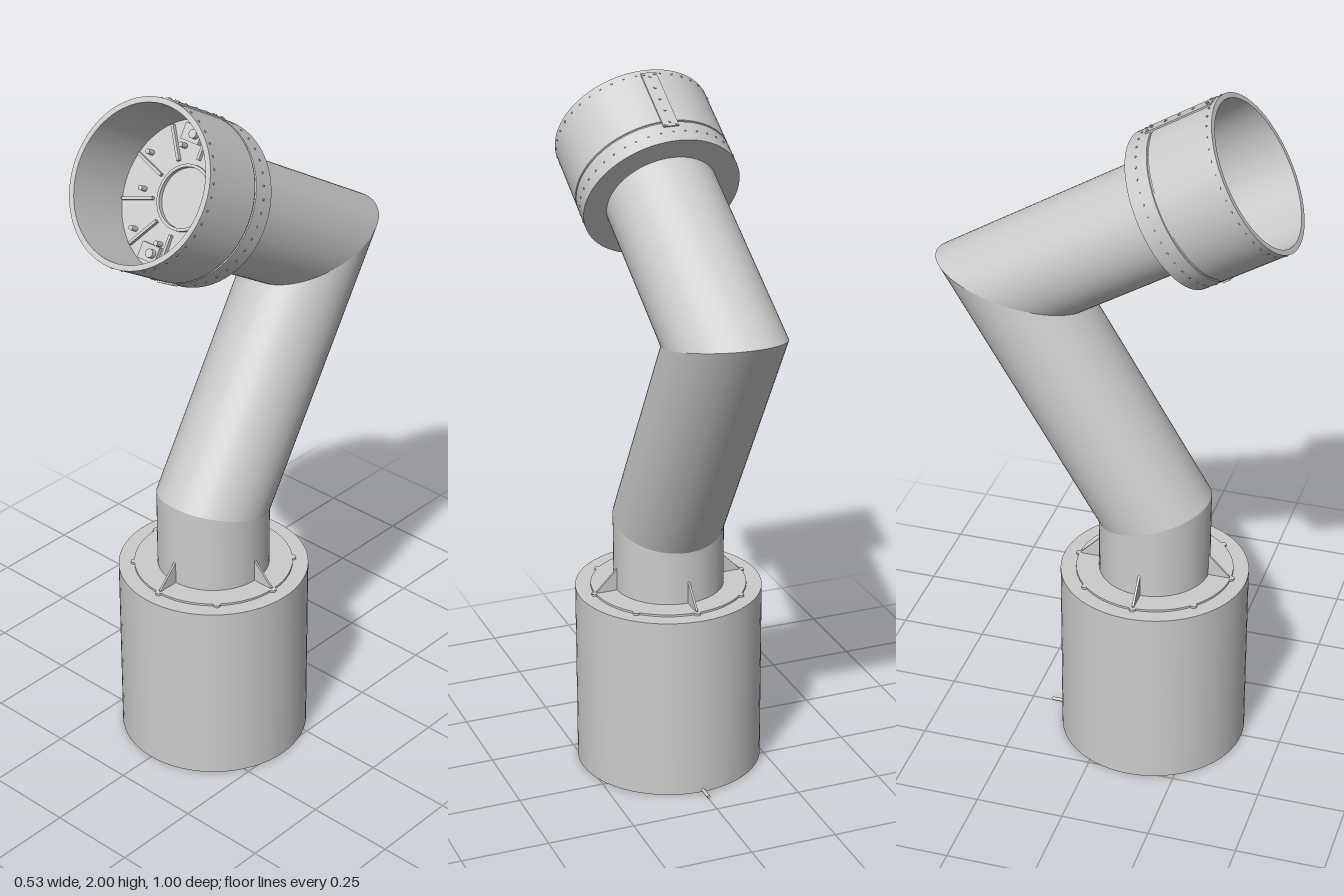
import * as THREE from 'three';
import { toCreasedNormals } from 'three/addons/utils/BufferGeometryUtils.js';

const grey = new THREE.MeshStandardMaterial({ color: 0xcccccc });
const twoSided = new THREE.MeshStandardMaterial({ color: 0xcccccc, side: THREE.DoubleSide });
const PIPE_R = 0.157, HEAD_R = 0.222;

function add(parent, name, geometry, x = 0, y = 0, z = 0, material = grey) {
  const mesh = new THREE.Mesh(geometry, material);
  mesh.name = name;
  mesh.position.set(x, y, z);
  parent.add(mesh);
  return mesh;
}

// Straight pipe along y whose ends are sheared to meet its neighbours at a mitre
function mitredPipe(length, startSlope, endSlope) {
  const g = new THREE.CylinderGeometry(PIPE_R, PIPE_R, length, 64, 1, true);
  g.translate(0, length / 2, 0);
  const p = g.attributes.position;
  for (let i = 0; i < p.count; i++) {
    const slope = p.getY(i) > length / 2 ? endSlope : startSlope;
    p.setY(i, p.getY(i) + slope * p.getZ(i));
  }
  return g;
}

// Runs fn on a holder turned to each of n even steps about the y axis
function around(parent, n, fn, offset = 0) {
  for (let i = 0; i < n; i++) {
    const holder = new THREE.Group();
    holder.rotation.y = offset + (i / n) * Math.PI * 2;
    parent.add(holder);
    fn(holder, i);
  }
}

function buildBase() {
  const base = new THREE.Group();
  base.name = 'base';
  add(base, 'pedestal', new THREE.CylinderGeometry(0.266, 0.266, 0.54, 64), 0, 0.27, 0);
  add(base, 'mountingFlange', new THREE.CylinderGeometry(0.222, 0.222, 0.006, 64), 0, 0.543, 0);
  const cable = add(base, 'cableStub', new THREE.CylinderGeometry(0.005, 0.005, 0.1, 12), 0, 0.006, -0.26);
  cable.rotation.x = Math.PI / 2;

  // Triangular gussets against the lower pipe
  const tri = new THREE.Shape([
    new THREE.Vector2(0.15, 0), new THREE.Vector2(0.218, 0), new THREE.Vector2(0.218, 0.006),
    new THREE.Vector2(0.157, 0.068), new THREE.Vector2(0.15, 0.068),
  ]);
  const gusset = new THREE.ExtrudeGeometry(tri, { depth: 0.006, bevelEnabled: false });
  around(base, 4, (h) => add(h, 'gusset', gusset, 0, 0.543, -0.003));
  const bolt = new THREE.CylinderGeometry(0.01, 0.01, 0.006, 12);
  around(base, 8, (h) => add(h, 'flangeBolt', bolt, 0.222, 0.543, 0));
  return base;
}

function buildHead() {
  const head = new THREE.Group();
  head.name = 'head';
  // Flange, seam, open shell and inner floor in one turned profile
  const profile = [
    [0.15, 0.516], [HEAD_R, 0.516], [HEAD_R, 0.583], [0.219, 0.584], [0.219, 0.588], [HEAD_R, 0.589],
    [HEAD_R, 0.78], [0.207, 0.78], [0.207, 0.58], [0.088, 0.58], [0.088, 0.588], [0.08, 0.588],
    [0.08, 0.576], [0, 0.576],
  ].map(([r, y]) => new THREE.Vector2(r, y));
  add(head, 'housing', toCreasedNormals(new THREE.LatheGeometry(profile, 80), 0.5));

  // Rows of rivets on the flange and behind the rim
  const rivet = new THREE.CylinderGeometry(0.003, 0.003, 0.004, 8).rotateZ(Math.PI / 2);
  for (const y of [0.55, 0.765]) {
    around(head, 40, (h) => add(h, 'rivet', rivet, HEAD_R, y, 0));
  }

  // Cover strip with screws along the upper seam
  add(head, 'seamStrip', new THREE.BoxGeometry(0.044, 0.2, 0.008), 0, 0.667, -HEAD_R + 0.001);
  const screw = new THREE.CylinderGeometry(0.004, 0.004, 0.003, 10).rotateX(Math.PI / 2);
  for (let i = 0; i < 5; i++) add(head, 'stripScrew', screw, 0, 0.583 + i * 0.042, -0.226);
  for (const x of [-0.015, 0.015]) {
    for (const y of [0.573, 0.76]) add(head, 'stripScrew', screw, x, y, -0.226);
  }

  // Latch under the lower seam
  for (const side of [-1, 1]) {
    const latch = add(head, 'lowerLatch', new THREE.BoxGeometry(0.05, 0.022, 0.008), side * 0.035, 0.575, 0.219);
    latch.rotation.y = side * 0.16;
  }

  // Ribs and bolts on the inner floor
  const rib = new THREE.BoxGeometry(0.1, 0.012, 0.008);
  const stud = new THREE.CylinderGeometry(0.007, 0.007, 0.024, 12);
  around(head, 10, (h, i) => {
    add(h, 'floorRib', rib, 0.152, 0.584, 0);
    add(h, 'floorStud', stud, i % 2 ? 0.135 : 0.17, 0.59, 0.025);
  }, Math.PI / 10);

  // Paired brackets at the top and bottom of the floor
  for (const z of [-0.16, 0.165]) {
    for (const x of [-0.045, 0.045]) {
      add(head, 'floorBracket', new THREE.BoxGeometry(0.06, 0.014, 0.045), x, 0.585, z);
      add(head, 'bracketBolt', new THREE.CylinderGeometry(0.012, 0.012, 0.016, 16), x * 0.7, 0.598, z);
    }
  }
  return head;
}

export function createModel() {
  const model = new THREE.Group();
  model.name = 'bentPipeVent';
  const base = buildBase();
  base.position.z = 0.12;
  model.add(base);

  // Three pipe runs joined by two mitred elbows
  const lean = -0.546, tilt = 1.03;
  const lowSlope = -Math.tan(lean / 2), highSlope = Math.tan((tilt - lean) / 2);
  const midLength = Math.hypot(0.402, 0.661);
  add(model, 'lowerPipe', mitredPipe(0.205, 0, lowSlope), 0, 0.54, 0.12, twoSided);
  const middle = add(model, 'middlePipe', mitredPipe(midLength, -lowSlope, -highSlope), 0, 0.745, 0.12, twoSided);
  middle.rotation.x = lean;

  const upper = new THREE.Group();
  upper.name = 'upperArm';
  upper.position.set(0, 1.406, -0.282);
  upper.rotation.x = tilt;
  add(upper, 'upperPipe', mitredPipe(0.53, highSlope, 0), 0, 0, 0, twoSided);
  upper.add(buildHead());
  model.add(upper);
  return model;
}
